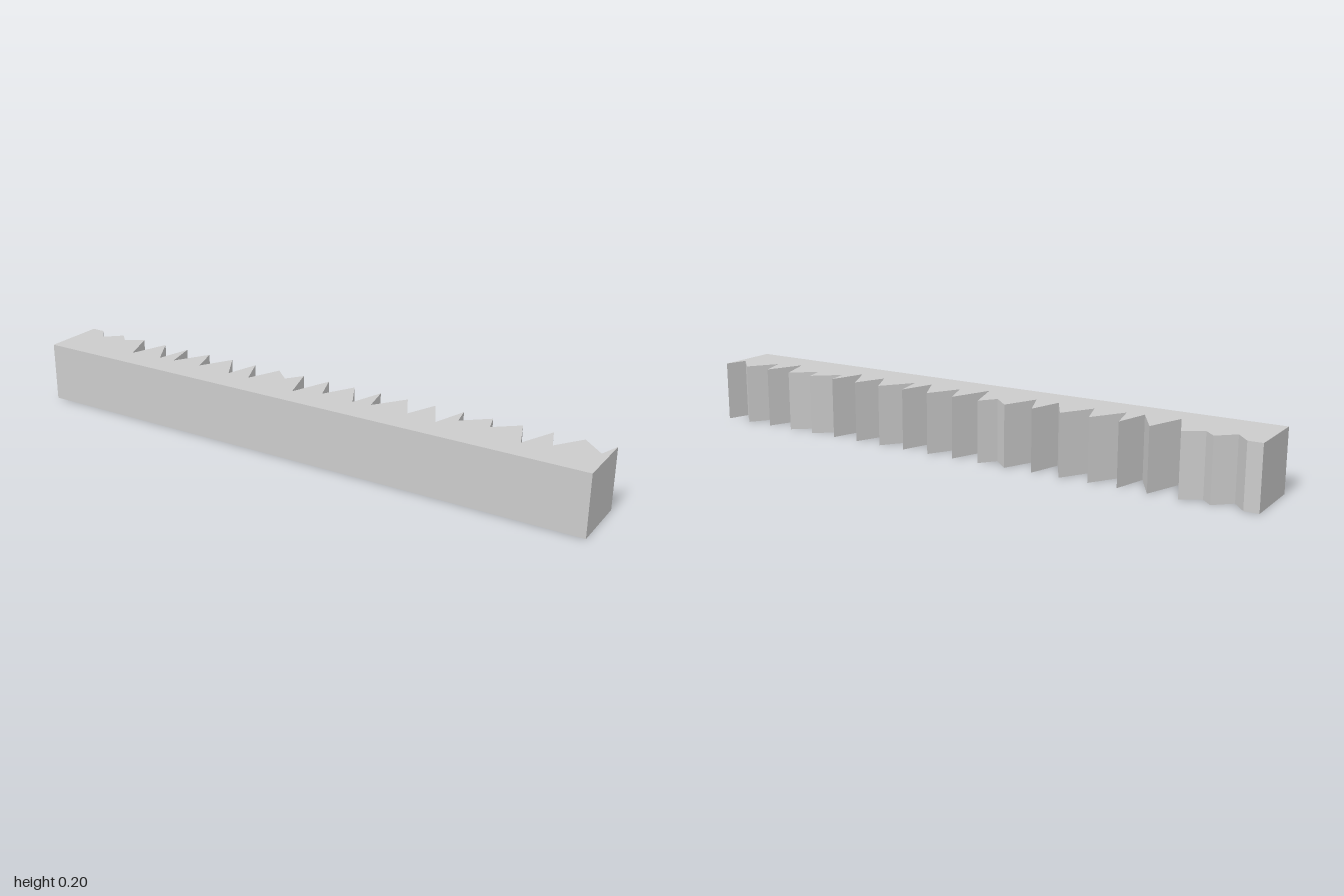
import * as THREE from 'three';

const HEIGHT = 0.204;
const HALF_DEPTH = 0.106;
const FIRST_TIP = -0.953;
const TOOTH_COUNT = 20;

// Notch bottoms between neighbouring teeth, as [x, z]
const NOTCHES = [
  [-0.91, -0.055], [-0.82, -0.071], [-0.705, 0.022], [-0.592, 0.011], [-0.535, 0.006],
  [-0.43, -0.002], [-0.302, 0.006], [-0.222, 0.006], [-0.115, -0.053], [-0.032, 0.031],
  [0.061, -0.003], [0.179, 0.006], [0.24, -0.003], [0.369, -0.003], [0.473, 0.011],
  [0.526, -0.036], [0.628, -0.041], [0.751, 0.016], [0.837, -0.014], [0.976, -0.035],
];

export function createModel() {
  const group = new THREE.Group();
  group.name = 'toothedBar';

  // Plan outline: shape y is -z, so the toothed edge (back) is at +y
  const outline = new THREE.Shape();
  outline.moveTo(1, -HALF_DEPTH);
  const pitch = (1 - FIRST_TIP) / TOOTH_COUNT;
  for (let i = TOOTH_COUNT; i >= 0; i--) {
    outline.lineTo(FIRST_TIP + i * pitch, HALF_DEPTH);
    if (i > 0) outline.lineTo(NOTCHES[i - 1][0], -NOTCHES[i - 1][1]);
  }
  outline.lineTo(-1, HALF_DEPTH);
  outline.lineTo(-1, -HALF_DEPTH);
  outline.closePath();

  // Bar with evenly spaced tips and irregular notches, standing on the ground
  const geometry = new THREE.ExtrudeGeometry(outline, { depth: HEIGHT, bevelEnabled: false });
  geometry.rotateX(-Math.PI / 2);
  const bar = new THREE.Mesh(
    geometry,
    new THREE.MeshStandardMaterial({ color: 0xcccccc, flatShading: true }),
  );
  bar.name = 'notchedBar';
  group.add(bar);
  return group;
}
